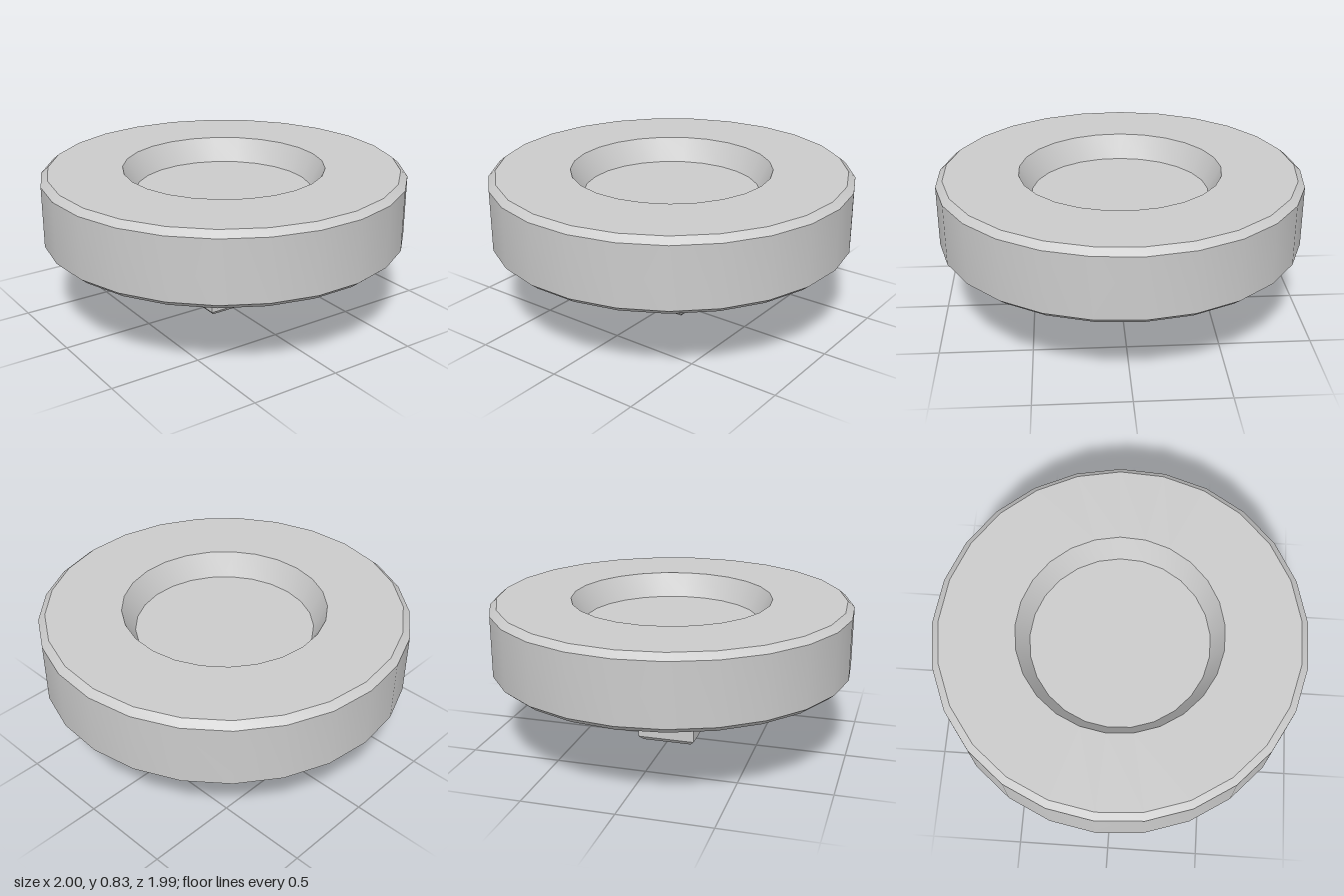
import * as THREE from 'three';
import { toCreasedNormals } from 'three/addons/utils/BufferGeometryUtils.js';

// Skin a stack of rectangular rings [halfX, halfZ, y], ordered from top outside to inside
function loftRectangles(rings) {
  const corners = [[1, 1], [1, -1], [-1, -1], [-1, 1]];
  const at = (ring, i) => {
    const [sx, sz] = corners[i % 4];
    return [ring[0] * sx, ring[2], ring[1] * sz];
  };
  const positions = [];
  for (let r = 0; r < rings.length - 1; r++) {
    for (let i = 0; i < 4; i++) {
      const a = at(rings[r], i), b = at(rings[r + 1], i);
      const c = at(rings[r + 1], i + 1), d = at(rings[r], i + 1);
      positions.push(...a, ...b, ...c, ...a, ...c, ...d);
    }
  }
  const geometry = new THREE.BufferGeometry();
  geometry.setAttribute('position', new THREE.Float32BufferAttribute(positions, 3));
  geometry.computeVertexNormals();
  return geometry;
}

export function createModel() {
  const group = new THREE.Group();
  group.name = 'buttonCap';
  const material = new THREE.MeshStandardMaterial({ color: 0xcccccc });

  // 25-sided disc with chamfered rims and a tapered dish in the top
  const profile = [
    [0, 0.43], [0.962, 0.43], [1, 0.462], [1, 0.798], [0.962, 0.83],
    [0.555, 0.83], [0.487, 0.70], [0, 0.70],
  ].map(([r, y]) => new THREE.Vector2(r, y));
  const discGeometry = new THREE.LatheGeometry(profile, 25);
  discGeometry.rotateY(Math.PI);
  const disc = new THREE.Mesh(toCreasedNormals(discGeometry, 0.5), material);
  disc.name = 'disc';
  group.add(disc);

  // Hollow rectangular stem: flared root, chamfered foot, socket inside
  const stem = new THREE.Mesh(loftRectangles([
    [0.235, 0.195, 0.43],
    [0.163, 0.123, 0.325],
    [0.163, 0.123, 0.025],
    [0.14, 0.10, 0],
    [0.128, 0.088, 0],
    [0.128, 0.088, 0.4],
    [0, 0, 0.4],
  ]), material);
  stem.name = 'stem';
  group.add(stem);

  // The odd side count makes the disc slightly deeper at the back
  group.children.forEach((part) => { part.position.z = 0.004; });
  return group;
}
